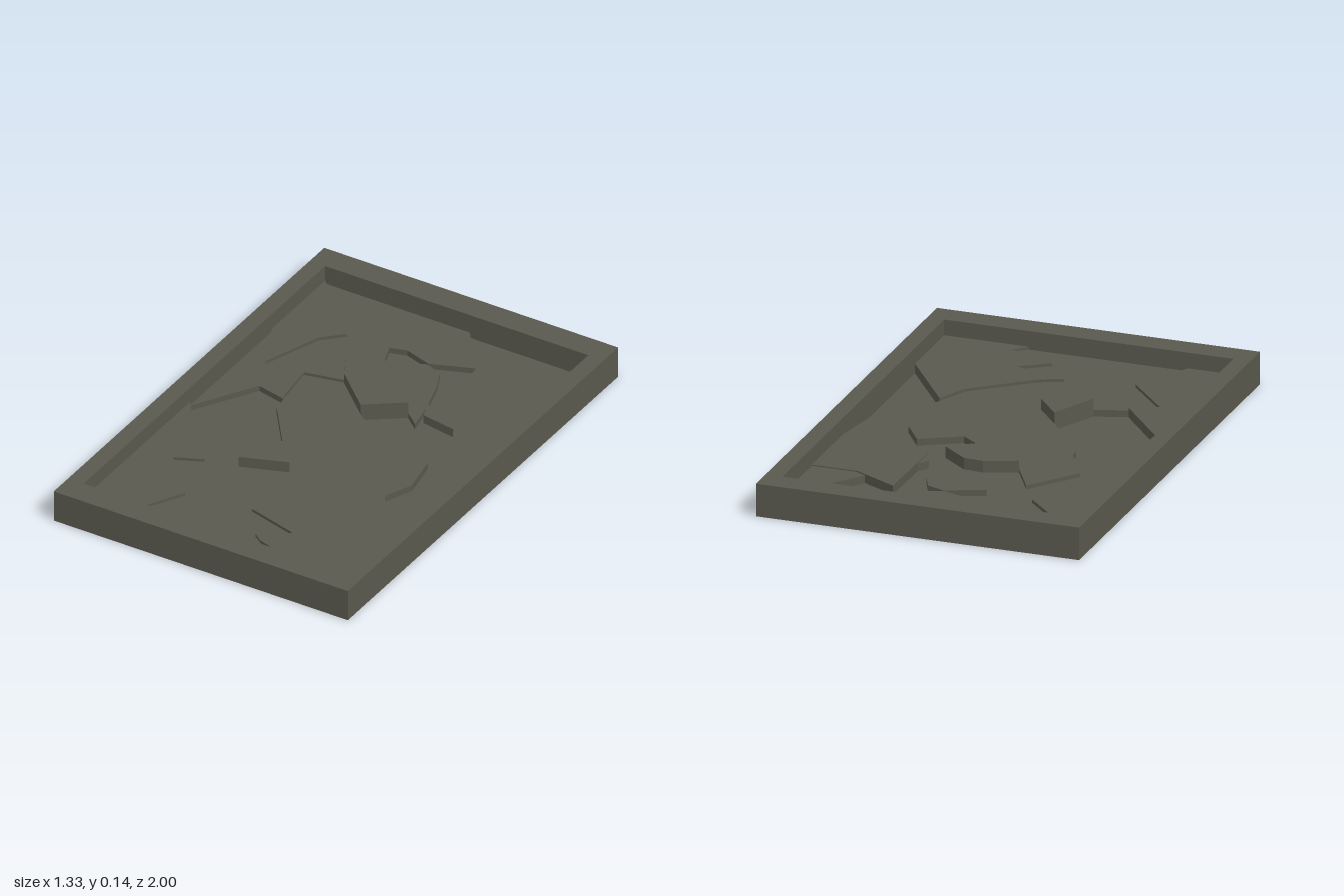
import * as THREE from 'three';

export function createModel() {
  const model = new THREE.Group();
  const stone = new THREE.MeshStandardMaterial({ color: 0x5a594e });
  stone.name = 'darkStone';

  // Upright prism from an [x, z] outline, between two heights
  function slab(name, outline, bottom, top, hole) {
    const toPoints = (list) => list.map(([x, z]) => new THREE.Vector2(x, -z));
    const shape = new THREE.Shape(toPoints(outline));
    // The hole runs against the outline so its walls face inwards
    if (hole) shape.holes.push(new THREE.Path(toPoints(hole).reverse()));
    const geometry = new THREE.ExtrudeGeometry(shape, { depth: top - bottom, bevelEnabled: false });
    geometry.rotateX(-Math.PI / 2).translate(0, bottom, 0);
    const mesh = new THREE.Mesh(geometry, stone);
    mesh.name = name;
    model.add(mesh);
  }
  const rect = (x, z) => [[-x, -z], [x, -z], [x, z], [-x, z]];

  // Raised border and recessed floor
  const floor = 0.03;
  slab('border', rect(0.667, 1), 0, 0.135, rect(0.597, 0.893));
  slab('floor', rect(0.597, 0.893), 0, floor);

  // Broken plates lying in the recess
  slab('backPlate', [
    [-0.597, -0.893], [0.06, -0.893], [0.21, -0.69], [0.035, -0.623], [-0.08, -0.66], [-0.15, -0.64],
    [-0.12, -0.555], [0.035, -0.617], [0.11, -0.59], [0.15, -0.5], [0.19, -0.36], [0.215, -0.235],
    [0.15, -0.29], [0, -0.18], [-0.31, -0.12], [-0.44, -0.15], [-0.597, 0.11],
  ], floor, 0.054);
  slab('cornerPlate', [[0.597, -0.893], [0.597, -0.5], [0.22, -0.29], [0.19, -0.36]], floor, 0.062);
  slab('centrePlate', [
    [-0.33, -0.3], [-0.17, -0.34], [0, -0.18], [0.16, -0.06], [0.32, -0.15], [0.4, -0.03], [0.43, 0.14],
    [0.38, 0.26], [0.32, 0.39], [0.09, 0.58], [0, 0.62], [0.22, 0.68], [0.1, 0.76], [0.14, 0.79],
    [0.3, 0.84], [0.25, 0.893], [-0.41, 0.893], [-0.28, 0.66], [-0.45, 0.47], [-0.34, 0.42],
    [-0.21, 0.38], [-0.12, 0.19], [-0.3, -0.05],
  ], floor, 0.058);
  slab('backLeftShard', [
    [-0.597, -0.893], [-0.33, -0.62], [-0.41, -0.54], [-0.5, -0.29], [-0.597, -0.5],
  ], floor, 0.068);
  slab('rightShard', [
    [0.597, -0.57], [0.41, -0.57], [0.225, -0.67], [0.22, -0.29], [0.37, -0.265], [0.55, 0.065], [0.597, -0.23],
  ], floor, 0.067);
  slab('spikeShard', [
    [-0.31, -0.12], [-0.41, -0.3], [-0.26, -0.495], [-0.17, -0.335], [-0.33, -0.3],
  ], floor, 0.07);
  slab('frontLeftShard', [
    [-0.597, 0.11], [-0.34, 0.42], [-0.45, 0.47], [-0.28, 0.66], [-0.41, 0.893], [-0.597, 0.893],
  ], floor, 0.07);
  slab('frontRightShard', [
    [0.38, 0.26], [0.32, 0.39], [0.09, 0.58], [0, 0.62], [0.22, 0.68], [0.1, 0.76], [0.14, 0.79],
    [0.3, 0.84], [0.25, 0.893], [0.597, 0.893], [0.597, 0.57],
  ], floor, 0.07);

  // Stacked chips that stand higher
  slab('upperBackChip', [
    [-0.17, -0.335], [-0.04, -0.385], [0.04, -0.38], [0.15, -0.29], [0, -0.18],
  ], floor, 0.102);
  slab('upperFrontChip', [[-0.12, 0.19], [-0.02, 0.31], [-0.21, 0.38]], floor, 0.104);

  return model;
}
